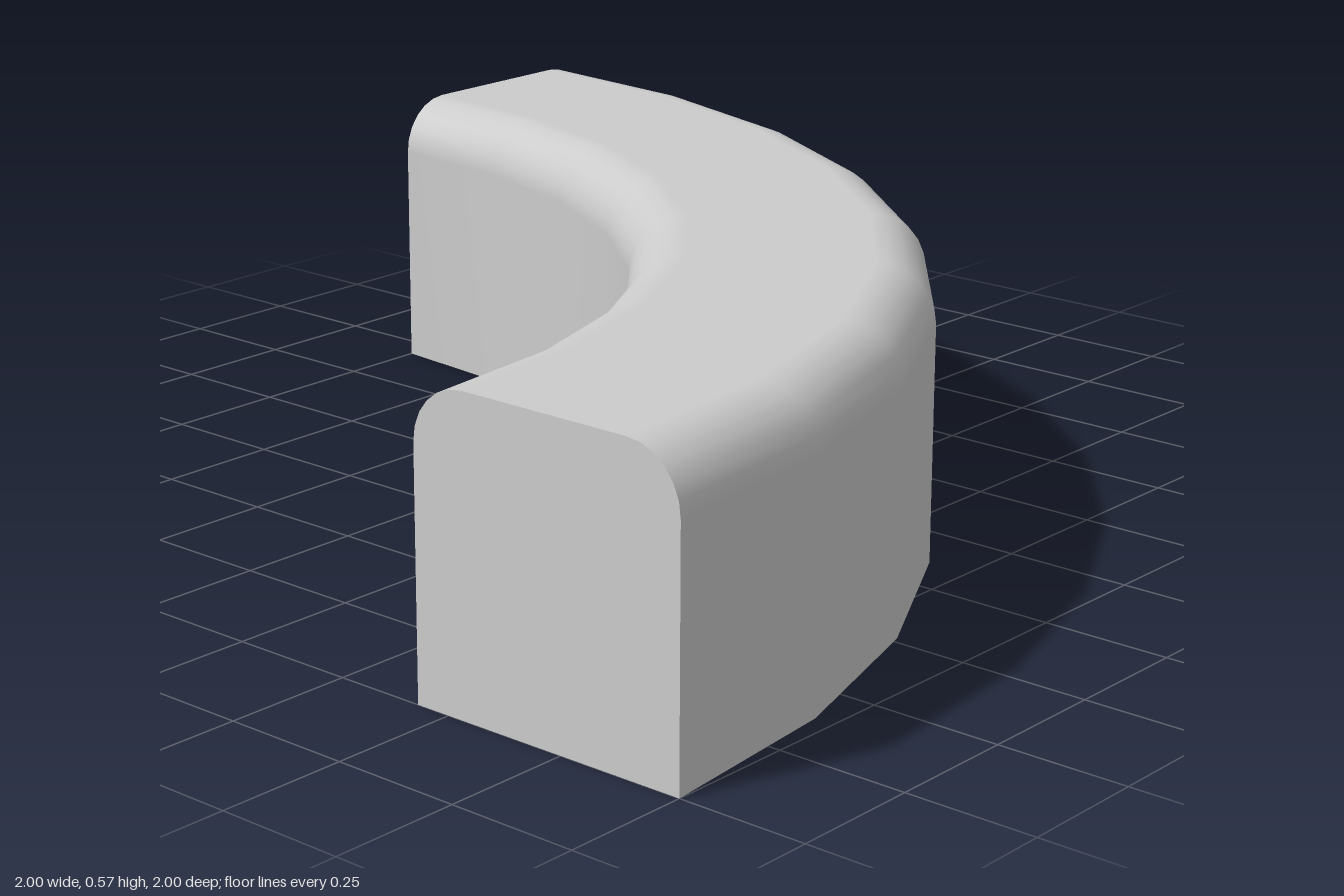
import * as THREE from 'three';

const INNER = 1.43, OUTER = 2, HEIGHT = 0.57, RADIUS = 0.11;
const SEGMENTS = 8, CORNER_STEPS = 6;

// Cross-section (radius, height): up the outer wall, over the top, down the inner wall
function sectionPoints() {
  const points = [new THREE.Vector2(OUTER, 0)];
  for (const [centre, start] of [[OUTER - RADIUS, 0], [INNER + RADIUS, Math.PI / 2]]) {
    for (let i = 0; i <= CORNER_STEPS; i++) {
      const a = start + (i / CORNER_STEPS) * Math.PI / 2;
      points.push(new THREE.Vector2(
        centre + RADIUS * Math.cos(a),
        HEIGHT - RADIUS + RADIUS * Math.sin(a)
      ));
    }
  }
  points.push(new THREE.Vector2(INNER, 0));
  return points;
}

export function createModel() {
  const group = new THREE.Group();
  group.name = 'curvedDuct';
  const material = new THREE.MeshStandardMaterial({ color: 0xcccccc, side: THREE.DoubleSide });
  const section = sectionPoints();

  const add = (name, geometry) => {
    const mesh = new THREE.Mesh(geometry, material);
    mesh.name = name;
    mesh.position.set(-1, 0, -1); // centre of the bend
    group.add(mesh);
    return mesh;
  };
  const sweep = (points) => new THREE.LatheGeometry(points, SEGMENTS, 0, Math.PI / 2);

  // Walls and rounded top swept through a quarter turn
  add('shell', sweep(section));

  // Flat underside
  add('floor', sweep([new THREE.Vector2(INNER, 0), new THREE.Vector2(OUTER, 0)]));

  // One end is closed, the other stays open
  const cap = add('endCap', new THREE.ShapeGeometry(new THREE.Shape(section)));
  cap.rotation.y = -Math.PI / 2;

  return group;
}
